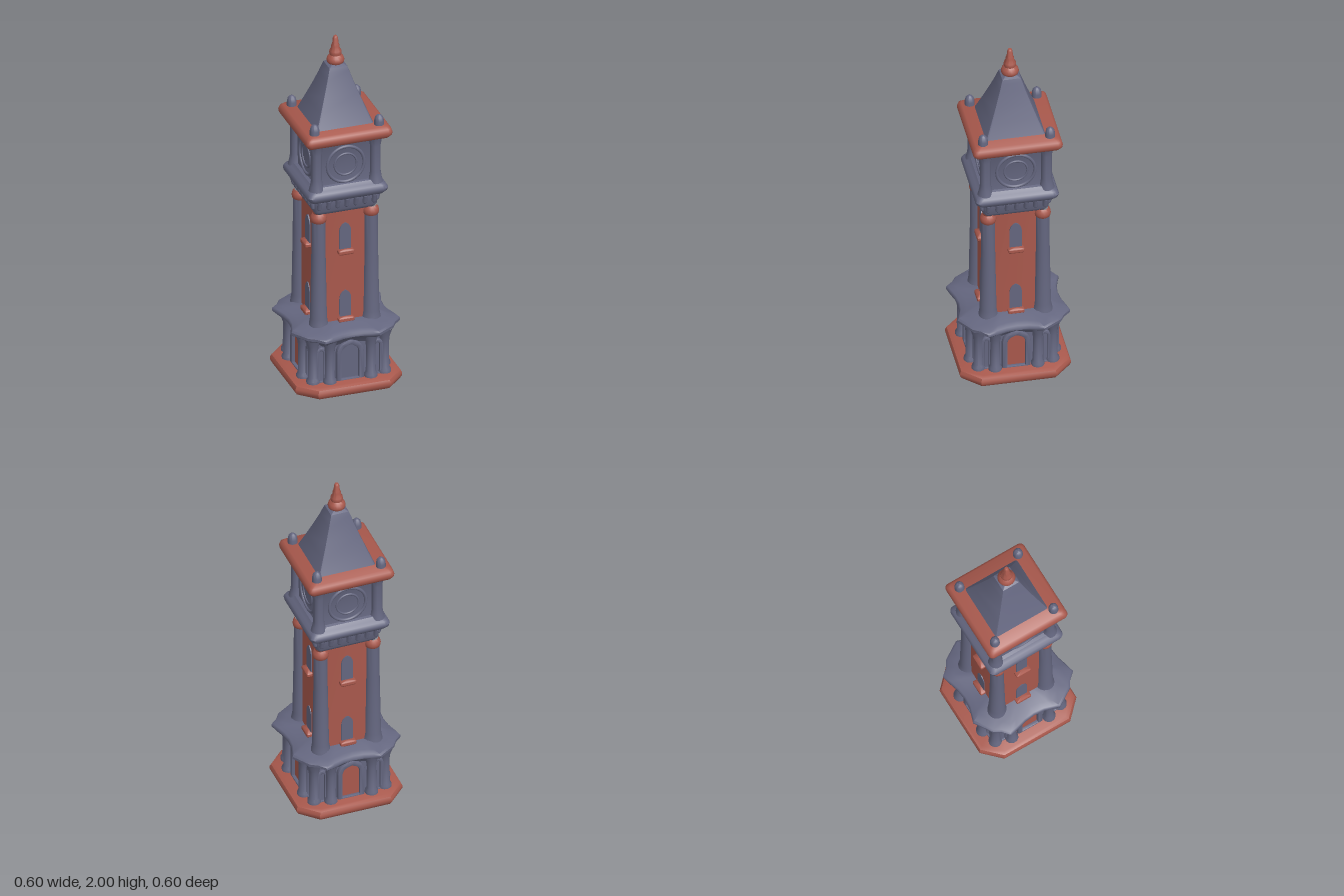
import * as THREE from 'three';
import { toCreasedNormals } from 'three/addons/utils/BufferGeometryUtils.js';

const slate = new THREE.MeshStandardMaterial({ color: 0x64667f });
slate.name = 'slate';
const brick = new THREE.MeshStandardMaterial({ color: 0xa8584c });
brick.name = 'brick';

function add(parent, name, geometry, material, x = 0, y = 0, z = 0) {
  const mesh = new THREE.Mesh(geometry, material);
  mesh.name = name;
  mesh.position.set(x, y, z);
  parent.add(mesh);
  return mesh;
}

// Stack scaled copies of a plan outline [x, z] at rings of [scale, y], capped at both ends
function loft(plan, rings, crease = 0.7) {
  const n = plan.length, pos = [], index = [];
  for (const [s, y] of rings) for (const [x, z] of plan) pos.push(x * s, y, z * s);
  for (let j = 0; j < rings.length - 1; j++) {
    for (let i = 0; i < n; i++) {
      const a = j * n + i, b = j * n + (i + 1) % n, c = a + n, d = b + n;
      index.push(a, c, b, b, c, d);
    }
  }
  const bottom = rings.length * n, last = bottom - n;
  pos.push(0, rings[0][1], 0, 0, rings[rings.length - 1][1], 0);
  for (let i = 0; i < n; i++) {
    const k = (i + 1) % n;
    index.push(bottom, i, k, bottom + 1, last + k, last + i);
  }
  const g = new THREE.BufferGeometry();
  g.setAttribute('position', new THREE.Float32BufferAttribute(pos, 3));
  g.setIndex(index);
  return toCreasedNormals(g, crease);
}

// Unit square plan with rounded (or, with one step, chamfered) corners
function squarePlan(radius, steps = 4) {
  const pts = [];
  for (let q = 0; q < 4; q++) {
    const cx = (q === 0 || q === 3 ? 1 : -1) * (1 - radius);
    const cz = (q < 2 ? 1 : -1) * (1 - radius);
    for (let i = 0; i <= steps; i++) {
      const a = (q + i / steps) * Math.PI / 2;
      pts.push([cx + radius * Math.cos(a), cz + radius * Math.sin(a)]);
    }
  }
  return pts;
}

// Wavy cornice plan: eight points, hollow between them
function wavyPlan() {
  const quarter = [[0.268, 0], [0.275, 0.06], [0.292, 0.12], [0.302, 0.165], [0.262, 0.2],
    [0.238, 0.238], [0.2, 0.262], [0.14, 0.3], [0.11, 0.29], [0.06, 0.274]];
  const pts = [];
  for (let q = 0; q < 4; q++) {
    for (const [x, z] of quarter) {
      pts.push([[x, z], [-z, x], [-x, -z], [z, -x]][q]);
    }
  }
  return pts;
}

const lathe = (pts, sides = 20) =>
  toCreasedNormals(new THREE.LatheGeometry(pts.map(([r, y]) => new THREE.Vector2(r, y)), sides), 0.9);

// Arched outline standing on y = 0; a peak above 0 makes it pointed
function archOutline(shape, w, h, peak = 0) {
  const spring = h - w - peak;
  shape.moveTo(-w, 0);
  shape.lineTo(w, 0);
  shape.lineTo(w, spring);
  shape.quadraticCurveTo(w, spring + (w + peak) * 0.75, 0, h);
  shape.quadraticCurveTo(-w, spring + (w + peak) * 0.75, -w, spring);
  shape.closePath();
  return shape;
}
const extrude = (shape, depth, bevel = 0) => toCreasedNormals(new THREE.ExtrudeGeometry(shape, {
  depth, curveSegments: 8, bevelEnabled: bevel > 0, bevelSize: bevel, bevelThickness: bevel, bevelSegments: 2,
}), 0.6);
const archPlate = (w, h, peak, depth) => extrude(archOutline(new THREE.Shape(), w, h, peak), depth);
function archFrame(w, h, rim, depth) {
  const shape = archOutline(new THREE.Shape(), w + rim, h + rim);
  shape.holes.push(archOutline(new THREE.Path(), w, h));
  return extrude(shape, depth, 0.006);
}

function buildBase(model) {
  const base = new THREE.Group();
  base.name = 'base';
  model.add(base);
  const chamfered = squarePlan(0.32, 1);
  add(base, 'plinth', loft(chamfered, [[0.27, 0], [0.29, 0.012], [0.299, 0.03], [0.299, 0.045],
    [0.292, 0.06], [0.275, 0.07]], 0.6), brick);
  add(base, 'arcadeWall', loft(squarePlan(0.2, 2), [[0.212, 0.06], [0.208, 0.09], [0.208, 0.35]]), slate);
  add(base, 'arcadeCornice', loft(wavyPlan(), [[0.78, 0.28], [0.86, 0.31], [0.96, 0.328], [1, 0.338],
    [1, 0.352], [0.97, 0.361], [0.84, 0.367], [0.7, 0.385]], 0.8), slate);

  const column = lathe([[0.036, 0.06], [0.036, 0.085], [0.027, 0.1], [0.025, 0.24], [0.03, 0.285], [0.046, 0.33]], 14);
  for (let k = 0; k < 4; k++) {
    const side = new THREE.Group();
    side.name = 'arcadeSide' + (k + 1);
    side.rotation.y = k * Math.PI / 2;
    base.add(side);
    // Doorway, flanking columns and narrow niches
    add(side, 'door', archPlate(0.054, 0.21, 0, 0.008), k === 0 ? slate : brick, 0, 0.07, 0.206);
    add(side, 'doorArch', archFrame(0.054, 0.21, 0.016, 0.018), slate, 0, 0.07, 0.208);
    for (const s of [-1, 1]) {
      add(side, 'arcadeColumn', column, slate, s * 0.115, 0, 0.226);
      add(side, 'nicheArch', archFrame(0.016, 0.19, 0.01, 0.01), slate, s * 0.158, 0.07, 0.204);
    }
    add(side, 'cornerPier', column, slate, 0.2, 0, 0.2);
  }
}

function buildShaft(tower) {
  const shaft = new THREE.Group();
  shaft.name = 'shaft';
  tower.add(shaft);
  add(shaft, 'brickShaft', loft(squarePlan(0.1, 2), [[0.155, 0.34], [0.151, 1.04]]), brick);
  const pier = lathe([[0.056, 0.36], [0.05, 0.39], [0.045, 0.42], [0.038, 0.8], [0.037, 1.0]]);
  const capital = lathe([[0.034, 0.985], [0.041, 0.992], [0.044, 1.008], [0.041, 1.025], [0.03, 1.04]]);
  const sill = loft(squarePlan(0.25), [[0.9, -0.012], [1, -0.006], [1, 0.008], [0.9, 0.013]]);
  for (let k = 0; k < 4; k++) {
    const side = new THREE.Group();
    side.name = 'shaftSide' + (k + 1);
    side.rotation.y = k * Math.PI / 2;
    shaft.add(side);
    add(side, 'cornerPier', pier, slate, 0.147, 0, 0.147);
    add(side, 'cornerCapital', capital, brick, 0.147, 0, 0.147);
    // Two pointed windows, one above the other
    for (const y of [0.405, 0.805]) {
      add(side, 'windowPane', archPlate(0.033, 0.155, 0.022, 0.008), slate, 0, y, 0.15);
      add(side, 'windowSill', sill, brick, 0, y - 0.012, 0.162).scale.set(0.044, 1, 0.022);
    }
  }
}

function buildBelfry(tower) {
  const belfry = new THREE.Group();
  belfry.name = 'belfry';
  tower.add(belfry);
  const rounded = squarePlan(0.14);
  add(belfry, 'corbel', loft(rounded, [[0.145, 1.025], [0.165, 1.035], [0.178, 1.055], [0.178, 1.12],
    [0.205, 1.125], [0.222, 1.145], [0.225, 1.16], [0.216, 1.178], [0.2, 1.188], [0.185, 1.205]], 0.8), slate);
  add(belfry, 'clockRoom', loft(rounded, [[0.168, 1.19], [0.163, 1.22], [0.163, 1.43], [0.178, 1.455], [0.2, 1.475]]), slate);
  add(belfry, 'brickEaves', loft(squarePlan(0.1), [[0.2, 1.455], [0.228, 1.463], [0.24, 1.48], [0.242, 1.495],
    [0.236, 1.515], [0.222, 1.528]], 0.8), brick);

  const post = lathe([[0.042, 1.185], [0.034, 1.215], [0.029, 1.25], [0.029, 1.4], [0.036, 1.44], [0.046, 1.47]]);
  const knob = lathe([[0.027, 1.52], [0.026, 1.55], [0.022, 1.57], [0.012, 1.582], [0, 1.586]]);
  for (let k = 0; k < 4; k++) {
    const side = new THREE.Group();
    side.name = 'belfrySide' + (k + 1);
    side.rotation.y = k * Math.PI / 2;
    belfry.add(side);
    add(side, 'cornerPost', post, slate, 0.165, 0, 0.165);
    add(side, 'cornerKnob', knob, slate, 0.181, 0, 0.181);
    // Clock face with raised rings
    add(side, 'clockRim', new THREE.TorusGeometry(0.103, 0.009, 8, 40), slate, 0, 1.312, 0.163);
    add(side, 'clockRing', new THREE.TorusGeometry(0.062, 0.006, 8, 32), slate, 0, 1.312, 0.163);
    // Small brackets under the clock room
    for (let i = -3; i <= 3; i++) {
      const bracket = new THREE.CapsuleGeometry(0.013, 0.04, 4, 10);
      add(side, 'bracket', bracket, slate, i * 0.051, 1.098, 0.183).rotation.x = 0.25;
    }
  }
}

function buildRoof(tower) {
  const roof = new THREE.Group();
  roof.name = 'roof';
  tower.add(roof);
  add(roof, 'spire', loft(squarePlan(0.08, 2), [[0.166, 1.515], [0.157, 1.535], [0.128, 1.61], [0.098, 1.69],
    [0.07, 1.77], [0.058, 1.81], [0.05, 1.832], [0.034, 1.842]], 0.5), slate);
  add(roof, 'finial', lathe([[0.034, 1.835], [0.045, 1.845], [0.048, 1.858], [0.043, 1.875], [0.031, 1.888],
    [0.033, 1.9], [0.032, 1.912], [0.023, 1.926], [0.023, 1.94], [0.017, 1.955], [0.014, 1.985], [0.009, 1.997], [0, 2]]), brick);
}

export function createModel() {
  const model = new THREE.Group();
  model.name = 'clockTower';
  buildBase(model);
  const tower = new THREE.Group();
  tower.name = 'tower';
  tower.position.z = -0.01;
  model.add(tower);
  buildShaft(tower);
  buildBelfry(tower);
  buildRoof(tower);
  return model;
}
